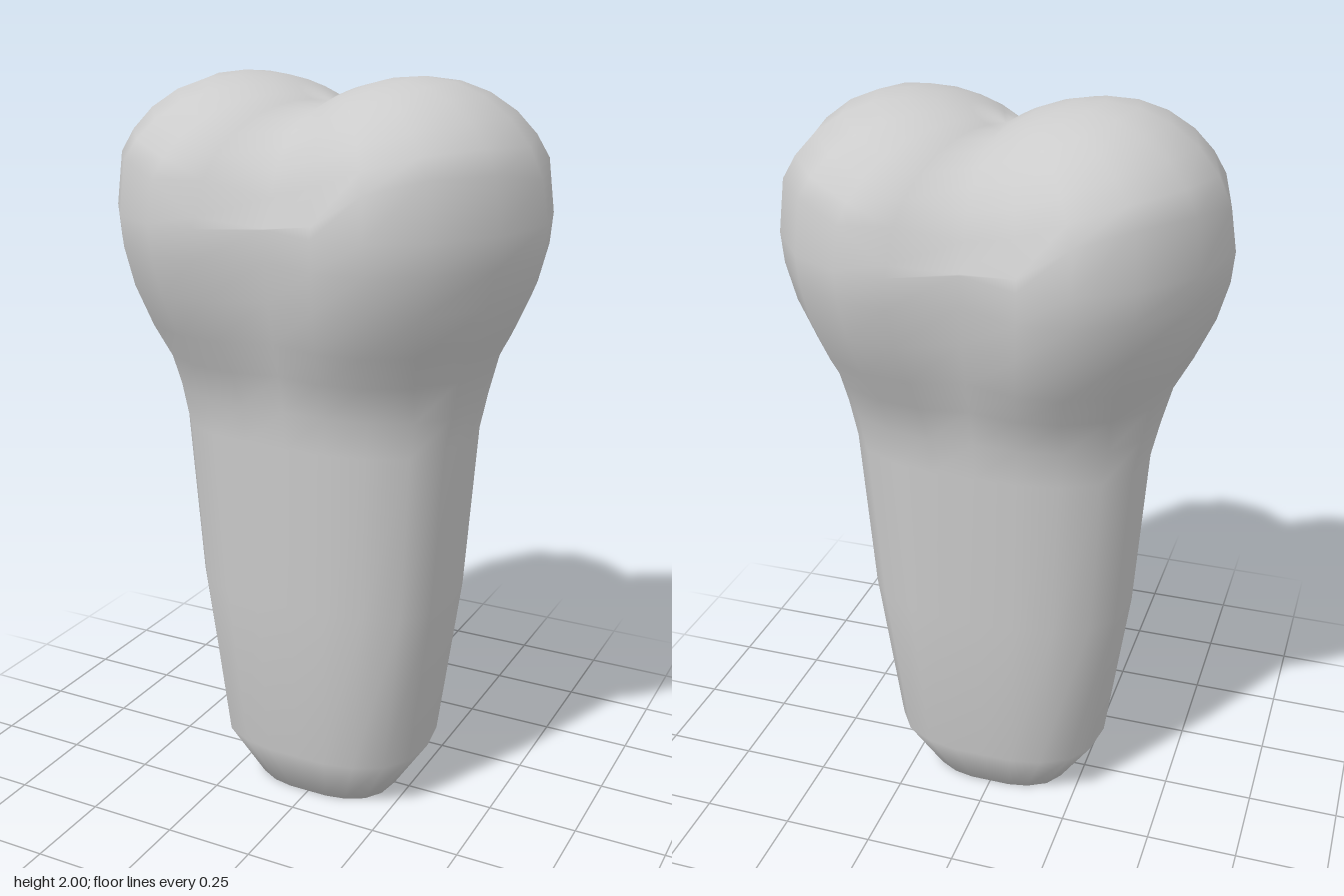
import * as THREE from 'three';
import { mergeVertices } from 'three/addons/utils/BufferGeometryUtils.js';

// Quarter outlines (unit width and depth), from the side (+x) round to the front (+z)
const KNOB = [[1, 0], [0.915, 0.45], [0.72, 0.805], [0.495, 0.975], [0.275, 1], [0, 0.84]];
const SHAFT = [[1, 0], [0.95, 0.45], [0.8, 0.75], [0.55, 0.93], [0.28, 1], [0, 1]];

// Levels up the bone: height, half width, half depth, share of the notched knob outline
const LEVELS = [
  [0, 0, 0, 0], [0, 0.205, 0.155, 0], [0.15, 0.305, 0.225, 0], [0.62, 0.37, 0.252, 0],
  [1.08, 0.402, 0.275, 0], [1.18, 0.425, 0.283, 0.1], [1.28, 0.452, 0.32, 0.4],
  [1.37, 0.5, 0.37, 0.7], [1.48, 0.55, 0.41, 0.9], [1.58, 0.578, 0.43, 1], [1.66, 0.585, 0.435, 1],
];
const CAP = [0.97, 0.91, 0.82, 0.7, 0.57, 0.43, 0.29, 0.15, 0];

// Full loop of 20 points mirrored from a quarter
function loop(w, d, k) {
  const q = KNOB.map((p, i) => p.map((v, j) => THREE.MathUtils.lerp(SHAFT[i][j], v, k) * (j ? d : w)));
  const half = [...q, ...q.slice(0, 5).reverse().map(([x, z]) => [-x, z])];
  return [...half, ...half.slice(1, -1).reverse().map(([x, z]) => [x, -z])];
}

// Height of the twin rounded lobes over the knob
function lobeHeight(x, z) {
  const dx = Math.abs(x) - 0.25;
  const e = 1 - (dx / (dx > 0 ? 0.335 : 0.41)) ** 2 - (z / 0.435) ** 2;
  return 1.66 + 0.34 * Math.sqrt(Math.max(0, e));
}

// Skin joining successive rings from the bottom to the top
function loft(rings) {
  const n = rings[0].length, index = [];
  for (let r = 0; r < rings.length - 1; r++) {
    for (let i = 0; i < n; i++) {
      const a = r * n + i, b = r * n + (i + 1) % n;
      index.push(a, a + n, b, b, a + n, b + n);
    }
  }
  let g = new THREE.BufferGeometry();
  g.setAttribute('position', new THREE.Float32BufferAttribute(rings.flat(2), 3));
  g.setIndex(index);
  g = mergeVertices(g, 1e-4);
  g.computeVertexNormals();
  return g;
}

export function createModel() {
  const group = new THREE.Group();
  group.name = 'bone';

  // Tapered shaft swelling into the notched knob
  const rings = LEVELS.map(([y, w, d, k]) => loop(w, d, k).map(([x, z]) => [x, y, z]));

  // Double-lobed cap closing toward the middle of the valley
  const rim = loop(0.585, 0.435, 1);
  for (const s of CAP) {
    rings.push(rim.map(([x, z]) => [x * s, lobeHeight(x * s, z * s), z * s]));
  }

  const bone = new THREE.Mesh(loft(rings), new THREE.MeshStandardMaterial({ color: 0xcccccc }));
  bone.name = 'boneEnd';
  group.add(bone);
  return group;
}
